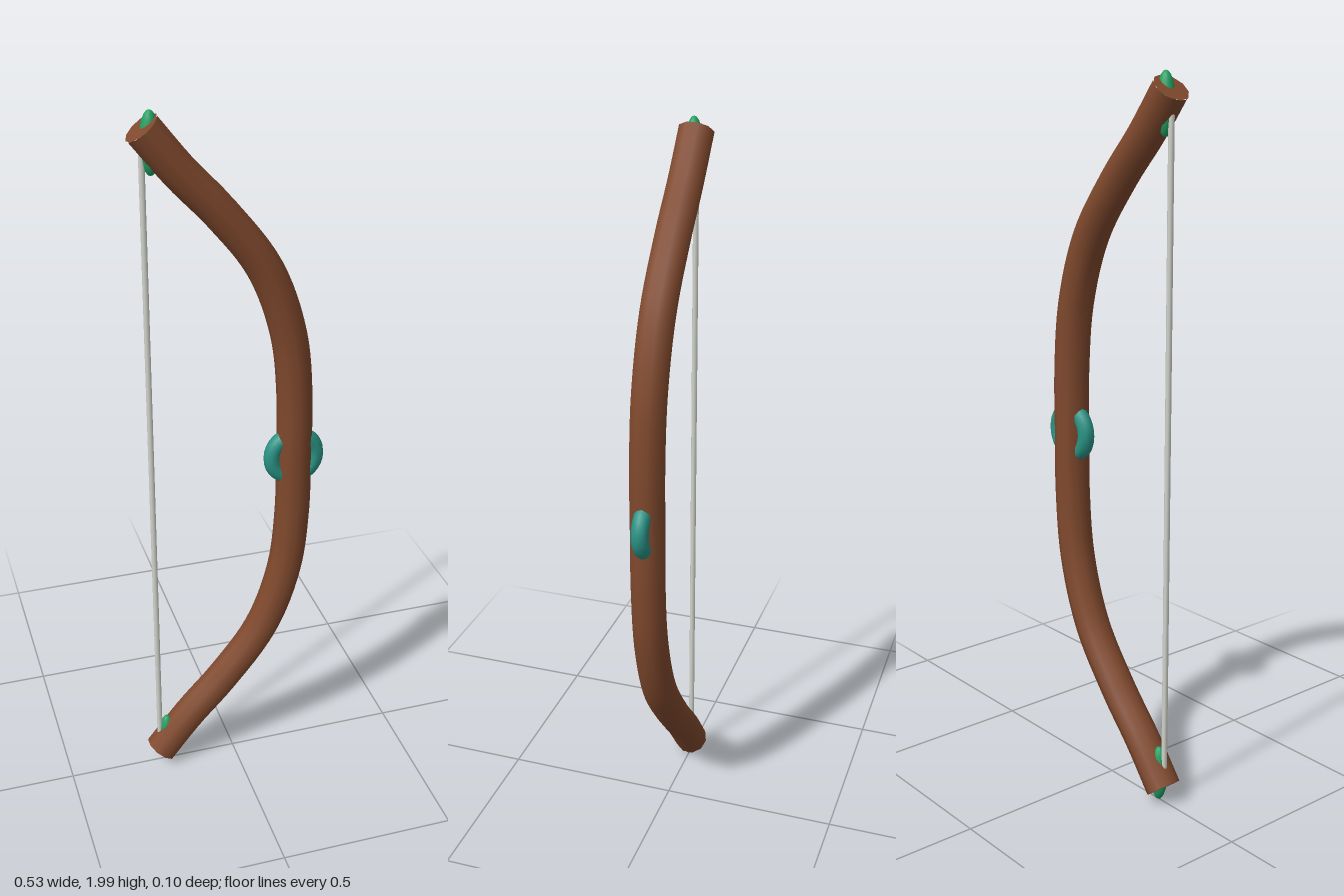
import * as THREE from 'three';

export function createModel() {
  const bow = new THREE.Group();
  bow.name = 'bow';

  const material = (name, color) => {
    const m = new THREE.MeshStandardMaterial({ color });
    m.name = name;
    return m;
  };
  const wood = material('brown wood', 0x80492d);
  const teal = material('teal grip', 0x2a9385);
  const green = material('green tip', 0x22a062);
  const cord = material('pale cord', 0xd2d4cc);

  const add = (name, geometry, mat, x = 0, y = 0, z = 0) => {
    const mesh = new THREE.Mesh(geometry, mat);
    mesh.name = name;
    mesh.position.set(x, y, z);
    bow.add(mesh);
    return mesh;
  };

  const midY = 1.005;
  const radius = 0.049;

  // Limb centre line: upper half, mirrored for the lower half
  const half = [[-0.226, 0.953], [-0.135, 0.838], [-0.03, 0.722], [0.088, 0.56],
    [0.155, 0.37], [0.176, 0.18]];
  const points = [
    ...half.map(([x, y]) => new THREE.Vector3(x, midY + y, 0)),
    new THREE.Vector3(0.177, midY, 0),
    ...half.slice().reverse().map(([x, y]) => new THREE.Vector3(x, midY - y, 0)),
  ];
  const curve = new THREE.CatmullRomCurve3(points);
  add('limb', new THREE.TubeGeometry(curve, 64, radius, 10), wood);

  // Flat caps closing both limb ends
  for (const t of [0, 1]) {
    const outward = curve.getTangent(t).multiplyScalar(t ? 1 : -1);
    const p = curve.getPoint(t);
    const cap = add('limbEnd', new THREE.CircleGeometry(radius, 10), wood, p.x, p.y, p.z);
    cap.quaternion.setFromUnitVectors(new THREE.Vector3(0, 0, 1), outward);
  }

  // Ring around the grip
  add('gripRing', new THREE.TorusGeometry(0.063, 0.024, 10, 32), teal, 0.177, midY, 0);

  // Rounded nocks passing through the limb ends
  for (const side of [1, -1]) {
    const nock = add('nock', new THREE.SphereGeometry(1, 16, 12), green,
      -0.206, midY + side * 0.914, 0);
    nock.scale.set(0.026, 0.081, 0.024);
  }

  // Bowstring
  add('bowstring', new THREE.CylinderGeometry(0.008, 0.008, 1.84, 8), cord, -0.228, midY, 0);

  return bow;
}
